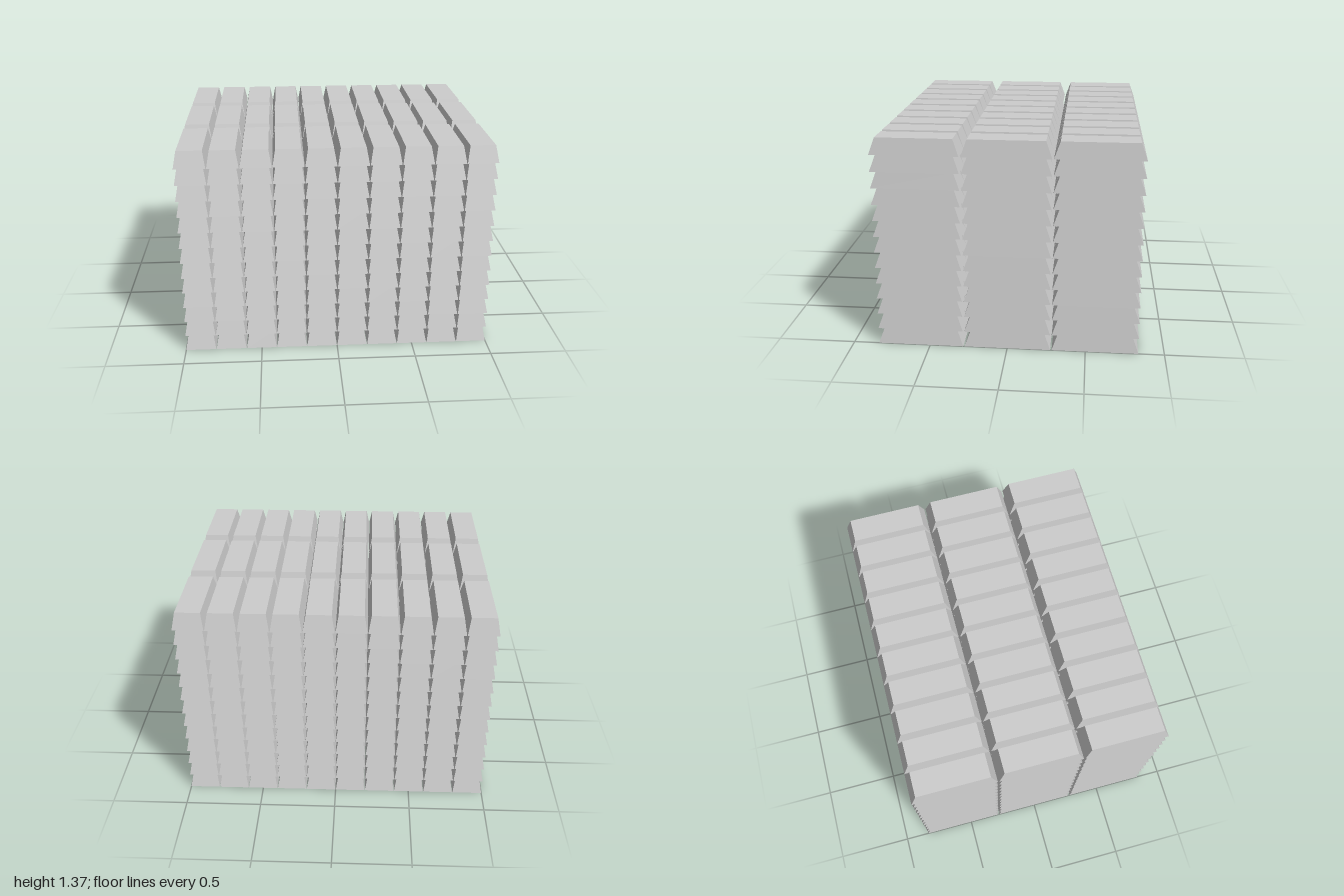
import * as THREE from 'three';

const COLUMNS = 10, ROWS = 3, LAYERS = 13;
const WIDTH = 0.197, DEPTH = 0.551, HEIGHT = 1.37 / LAYERS;
const PITCH_X = (2 - WIDTH) / (COLUMNS - 1), PITCH_Z = 0.5605;

// Ingot: a box standing on y = 0 whose top is drawn in on all four sides
function ingotGeometry(insetX, insetZ) {
  const geometry = new THREE.BoxGeometry(WIDTH, HEIGHT, DEPTH);
  geometry.translate(0, HEIGHT / 2, 0);
  const p = geometry.attributes.position;
  for (let i = 0; i < p.count; i++) {
    if (p.getY(i) < HEIGHT / 2) continue;
    p.setX(i, p.getX(i) - Math.sign(p.getX(i)) * insetX);
    p.setZ(i, p.getZ(i) - Math.sign(p.getZ(i)) * insetZ);
  }
  geometry.computeVertexNormals();
  return geometry;
}

export function createModel() {
  const model = new THREE.Group();
  model.name = 'ingotStack';
  const geometry = ingotGeometry(0.019, 0.038);
  const material = new THREE.MeshStandardMaterial({ color: 0xcccccc, flatShading: true });

  // Stacked layers, each a grid of ingots
  for (let k = 0; k < LAYERS; k++) {
    const layer = new THREE.Group();
    layer.name = `layer${k + 1}`;
    layer.position.y = k * HEIGHT;
    for (let r = 0; r < ROWS; r++) {
      for (let c = 0; c < COLUMNS; c++) {
        const ingot = new THREE.Mesh(geometry, material);
        ingot.name = 'ingot';
        ingot.position.set((c - (COLUMNS - 1) / 2) * PITCH_X, 0, (r - (ROWS - 1) / 2) * PITCH_Z);
        layer.add(ingot);
      }
    }
    model.add(layer);
  }
  return model;
}
